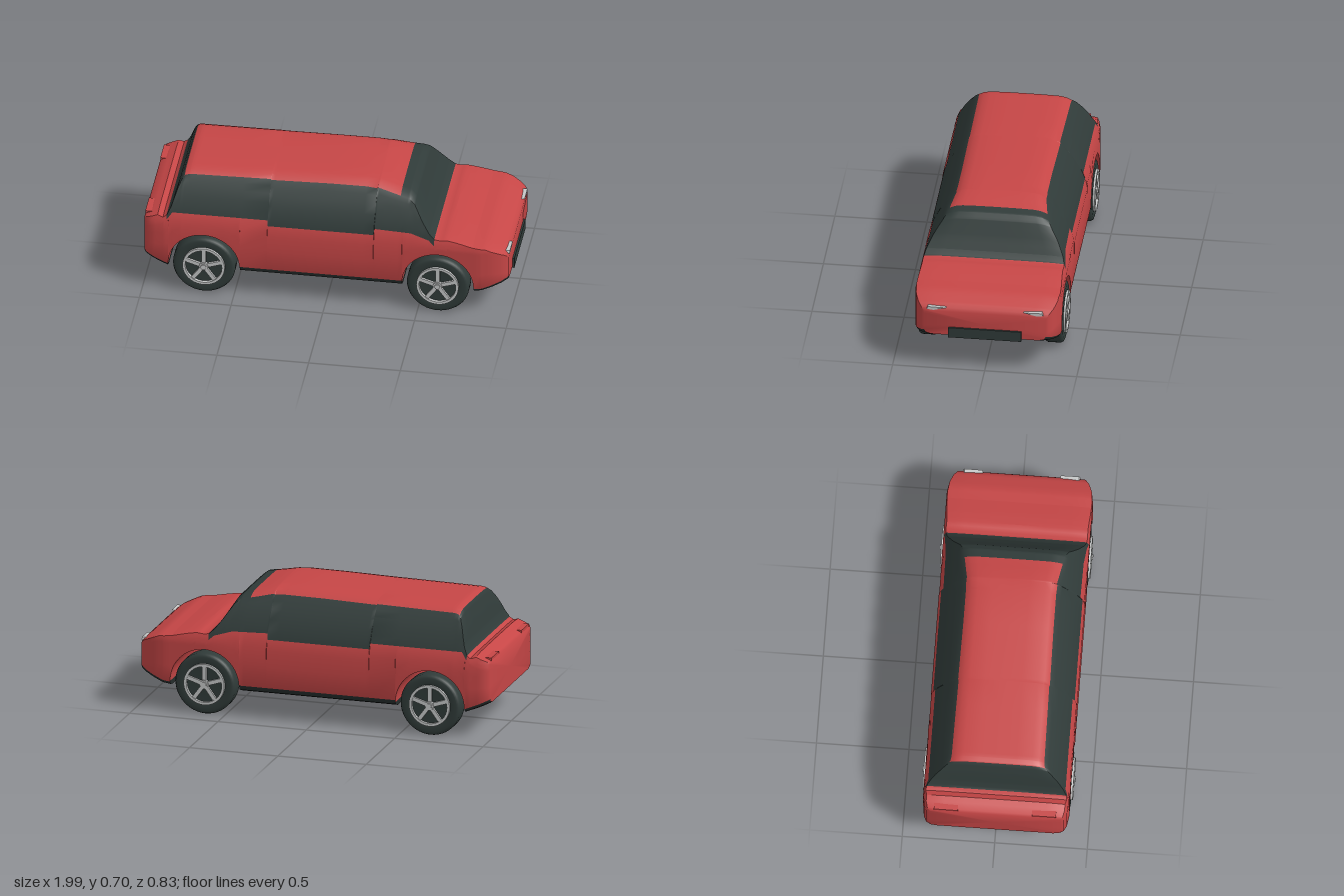
import * as THREE from 'three';
import { toCreasedNormals } from 'three/addons/utils/BufferGeometryUtils.js';

const material = (name, color, side = THREE.FrontSide) => {
  const m = new THREE.MeshStandardMaterial({ color, side });
  m.name = name;
  return m;
};

// Linear interpolation through [x, value] keys
function along(keys, x) {
  if (x <= keys[0][0]) return keys[0][1];
  for (let i = 1; i < keys.length; i++) {
    const [x0, v0] = keys[i - 1], [x1, v1] = keys[i];
    if (x <= x1) return v0 + (v1 - v0) * (x - x0) / (x1 - x0);
  }
  return keys[keys.length - 1][1];
}

const AXLES = [-0.665, 0.61];
const WHEEL_Y = 0.17, ARCH = 0.195;

// Body lines along the length: top, belt, half width and floor
const TOP = [[-0.995, 0.43], [-0.985, 0.442], [-0.95, 0.455], [-0.92, 0.468], [-0.89, 0.455], [-0.87, 0.468],
  [-0.85, 0.51], [-0.82, 0.61], [-0.8, 0.66], [-0.785, 0.678], [-0.76, 0.684], [-0.3, 0.692], [0, 0.699], [0.2, 0.7],
  [0.27, 0.693], [0.34, 0.676], [0.39, 0.665], [0.44, 0.655], [0.47, 0.63], [0.52, 0.545], [0.56, 0.485],
  [0.59, 0.458], [0.62, 0.455], [0.66, 0.46], [0.72, 0.45], [0.8, 0.432], [0.87, 0.424], [0.92, 0.403],
  [0.96, 0.385], [0.98, 0.37], [0.988, 0.35]];
const BELT = [[-0.995, 0.38], [-0.9, 0.41], [-0.87, 0.44], [-0.84, 0.48], [-0.321, 0.48], [-0.319, 0.45],
  [0.259, 0.45], [0.261, 0.482], [0.46, 0.475], [0.56, 0.445], [0.6, 0.41], [0.66, 0.4], [0.8, 0.372],
  [0.9, 0.36], [0.988, 0.31]];
const WIDTH = [[-0.995, 0.355], [-0.985, 0.372], [-0.95, 0.386], [-0.88, 0.395], [0.84, 0.395],
  [0.9, 0.385], [0.95, 0.366], [0.98, 0.345], [0.988, 0.33]];
const FLOOR = [[-0.995, 0.2], [-0.93, 0.17], [-0.86, 0.142], [0.8, 0.14], [0.85, 0.147], [0.95, 0.187], [0.988, 0.205]];
// Half width of the cabin side by height
const SIDE = [[0.4, 0.395], [0.43, 0.389], [0.48, 0.371], [0.55, 0.335], [0.62, 0.287], [0.645, 0.262], [0.665, 0.245], [0.7, 0.23]];

const inArch = x => AXLES.some(c => Math.abs(x - c) <= ARCH + 1e-6);

// Half a cross-section, from floor centre over the flank to roof centre, as [z, y]
function halfSection(x) {
  const axle = AXLES.find(c => Math.abs(x - c) <= ARCH + 1e-6);
  const t = along(TOP, x), b = along(BELT, x), w = along(WIDTH, x);
  const arch = axle !== undefined;
  const floor = arch ? WHEEL_Y + Math.sqrt(Math.max(0, ARCH ** 2 - (x - axle) ** 2)) : along(FLOOR, x);
  const corner = arch ? 0 : Math.abs(x) < 0.6 ? 0.04 : 0.025;
  const side = y => along(SIDE, y) * w / 0.395;
  const pts = [[0, floor], [w * 0.88, floor], [w * 0.97, floor + corner * 0.35], [w, floor + corner]];
  for (const k of [0.5, 0.8]) {
    const y = floor + (b - floor) * k;
    pts.push([side(y), y]);
  }
  for (const h of [0, 0.2, 0.4, 0.6, 0.75, 0.875]) {
    const y = b + (t - b) * h;
    pts.push([side(y), y]);
  }
  const edge = pts[pts.length - 1][0];
  for (const [r, h] of [[0.88, 0.95], [0.74, 0.985], [0.4, 0.998], [0, 1]]) pts.push([edge * r, b + (t - b) * h]);
  return pts;
}

function bodyGeometry() {
  const xs = [...TOP, ...BELT, ...WIDTH, ...FLOOR].map(k => k[0]);
  xs.push(-0.79);
  for (const c of AXLES) {
    xs.push(c - ARCH - 0.001, c + ARCH + 0.001);
    for (let i = 0; i <= 24; i++) xs.push(c - ARCH * Math.cos(Math.PI * i / 24));
  }
  xs.sort((a, b) => a - b);
  const stations = xs.filter((x, i) => i === 0 || x - xs[i - 1] > 1e-5);

  const position = [];
  let n = 0, half = 0;
  for (const x of stations) {
    const h = halfSection(x);
    half = h.length - 1;
    const ring = [...h, ...h.slice(1, -1).reverse().map(([z, y]) => [-z, y])];
    n = ring.length;
    for (const [z, y] of ring) position.push(x, y, z);
  }

  // Faces sorted by material: 0 paint, 1 glass, 2 underbody
  const faces = [[], [], []];
  for (let i = 0; i < stations.length - 1; i++) {
    const x = (stations[i] + stations[i + 1]) / 2;
    const cabin = x > -0.87 && x < 0.59, roof = x > -0.79 && x < 0.39;
    for (let j = 0; j < n; j++) {
      const row = j < half ? j : n - 1 - j;
      let m = 0;
      if (row < 3) m = inArch(x) ? 0 : 2;
      else if (row >= 6 && cabin) m = row >= 11 && roof ? 0 : 1;
      const k = (j + 1) % n;
      const a = i * n + j, b = i * n + k, c = b + n, d = a + n;
      faces[m].push(a, d, c, a, c, b);
    }
  }
  // Nose and tail caps
  for (const last of [false, true]) {
    const base = last ? (stations.length - 1) * n : 0;
    const centre = position.length / 3;
    position.push(last ? 0.988 : -0.995, last ? 0.28 : 0.31, 0);
    for (let j = 0; j < n; j++) {
      const p = base + j, q = base + (j + 1) % n;
      faces[0].push(centre, ...(last ? [q, p] : [p, q]));
    }
  }

  const g = new THREE.BufferGeometry();
  g.setAttribute('position', new THREE.Float32BufferAttribute(position, 3));
  g.setIndex(faces.flat());
  let start = 0;
  faces.forEach((f, m) => { g.addGroup(start, f.length, m); start += f.length; });
  return toCreasedNormals(g, 0.7);
}

export function createModel() {
  const car = new THREE.Group();
  car.name = 'car';
  const red = material('red paint', 0xc64646);
  const dark = material('dark glass and rubber', 0x303b39);
  const black = material('black underbody', 0x262e2d);
  const silver = material('silver metal', 0xc6c8c8);

  const add = (parent, name, geometry, mat, x = 0, y = 0, z = 0) => {
    const mesh = new THREE.Mesh(geometry, mat);
    mesh.name = name;
    mesh.position.set(x, y, z);
    parent.add(mesh);
    return mesh;
  };

  add(car, 'body', bodyGeometry(), [red, dark, black]);
  add(car, 'grille', new THREE.BoxGeometry(0.02, 0.06, 0.396), dark, 0.988, 0.225, 0);

  // Headlights taper towards the middle; tail lips sit on the rear corners
  for (const s of [1, -1]) {
    const lamp = new THREE.Shape();
    lamp.moveTo(0.21 * s, 0.374);
    lamp.lineTo(0.31 * s, 0.376);
    lamp.lineTo(0.317 * s, 0.362);
    lamp.lineTo(0.28 * s, 0.357);
    const g = new THREE.ExtrudeGeometry(lamp, { depth: 0.025, bevelEnabled: false });
    g.rotateY(Math.PI / 2);
    add(car, s > 0 ? 'rightHeadlight' : 'leftHeadlight', g, silver, 0.966);
    add(car, s > 0 ? 'rightTailLip' : 'leftTailLip', new THREE.BoxGeometry(0.035, 0.016, 0.13), red, -0.976, 0.442, 0.265 * s);
  }

  // Wheel parts, built facing +z with the tyre centred on the origin
  const tyre = new THREE.LatheGeometry([[0, -0.052], [0.15, -0.052], [0.163, -0.047], [0.17, -0.034], [0.17, 0.034],
    [0.163, 0.047], [0.15, 0.052], [0.118, 0.052], [0.112, 0.046], [0, 0.046]].map(p => new THREE.Vector2(...p)), 48);
  tyre.rotateX(Math.PI / 2);
  const ringShape = new THREE.Shape().absarc(0, 0, 0.115, 0, Math.PI * 2);
  ringShape.holes.push(new THREE.Path().absarc(0, 0, 0.1, 0, Math.PI * 2, true));
  const rim = new THREE.ExtrudeGeometry(ringShape, { depth: 0.018, bevelEnabled: false, curveSegments: 24 });
  const spoke = new THREE.BoxGeometry(0.022, 0.09, 0.014);
  spoke.translate(0, 0.06, 0);
  const hub = new THREE.CylinderGeometry(0.024, 0.026, 0.022, 24).rotateX(Math.PI / 2);
  const cap = new THREE.CylinderGeometry(0.015, 0.015, 0.01, 20).rotateX(Math.PI / 2);

  for (const x of AXLES) for (const s of [1, -1]) {
    const wheel = new THREE.Group();
    wheel.name = (x > 0 ? 'front' : 'rear') + (s > 0 ? 'Right' : 'Left') + 'Wheel';
    add(wheel, 'tyre', tyre, dark);
    add(wheel, 'rim', rim, silver, 0, 0, 0.045);
    for (let i = 0; i < 5; i++) add(wheel, 'spoke', spoke, silver, 0, 0, 0.052).rotation.z = i * Math.PI * 0.4;
    add(wheel, 'hub', hub, silver, 0, 0, 0.053);
    add(wheel, 'hubCap', cap, silver, 0, 0, 0.066);
    wheel.position.set(x, WHEEL_Y, 0.342 * s);
    if (s < 0) wheel.rotation.y = Math.PI;
    car.add(wheel);
  }
  return car;
}
